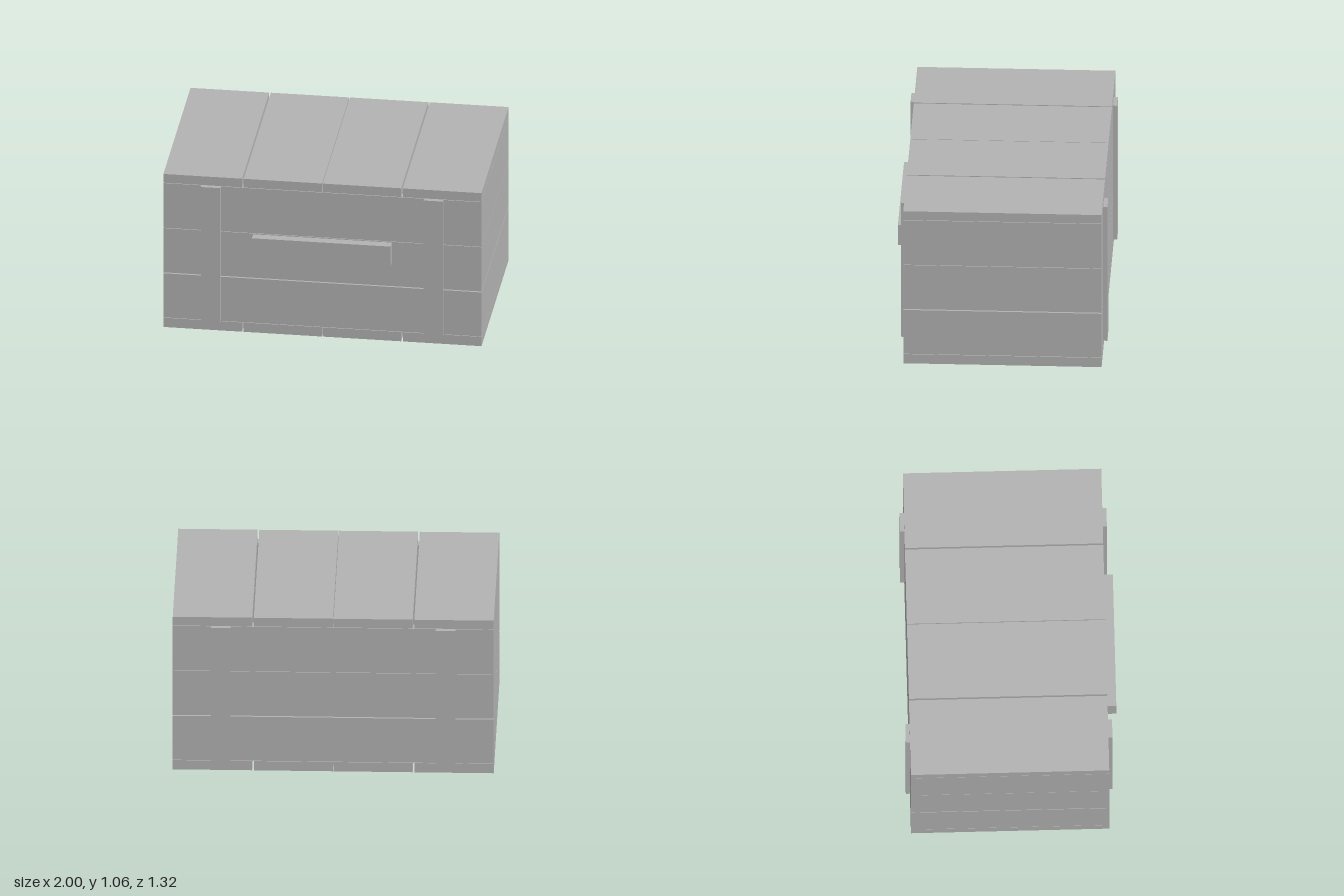
import * as THREE from 'three';

export function createModel() {
  const group = new THREE.Group();
  const wood = new THREE.MeshStandardMaterial({ color: 0xb2b2b2 });
  wood.name = 'grey wood';

  const FRONT = 0.602, BACK = -0.634, WALL = 0.06;

  function add(name, geometry) {
    const mesh = new THREE.Mesh(geometry, wood);
    mesh.name = name;
    group.add(mesh);
  }

  // Box given by its extents on each axis
  function box(name, [x0, x1], [y0, y1], [z0, z1]) {
    const g = new THREE.BoxGeometry(x1 - x0, y1 - y0, z1 - z0);
    g.translate((x0 + x1) / 2, (y0 + y1) / 2, (z0 + z1) / 2);
    add(name, g);
  }

  // Upright plank: a plan outline of [x, z] corners raised from y0 to y1
  function plank(name, corners, y0, y1) {
    const shape = new THREE.Shape(corners.map(([x, z]) => new THREE.Vector2(x, -z)));
    const g = new THREE.ExtrudeGeometry(shape, { depth: y1 - y0, bevelEnabled: false });
    g.rotateX(-Math.PI / 2);
    g.translate(0, y0, 0);
    add(name, g);
  }

  // Floor and lid, four boards each
  const boards = [[-1, -0.505], [-0.495, -0.002], [0.002, 0.495], [0.505, 1]];
  for (const x of boards) {
    box('floorBoard', x, [0, 0.064], [BACK, FRONT]);
    box('lidBoard', x, [1, 1.06], [BACK, FRONT]);
  }

  // Three courses of hollow walls, mitred at the corners
  const outer = [[-1, FRONT], [1, FRONT], [1, BACK], [-1, BACK]];
  const inner = [
    [-1 + WALL, FRONT - WALL], [1 - WALL, FRONT - WALL],
    [1 - WALL, BACK + WALL], [-1 + WALL, BACK + WALL],
  ];
  const sides = ['frontPlank', 'leftPlank', 'backPlank', 'rightPlank'];
  for (const [y0, y1] of [[0.067, 0.372], [0.379, 0.685], [0.688, 0.997]]) {
    sides.forEach((name, i) => {
      const j = (i + 1) % 4;
      plank(name, [outer[i], outer[j], inner[j], inner[i]], y0, y1);
    });
  }

  // Upright battens on the front and back
  for (const s of [-1, 1]) {
    const x = [s * 0.7 - 0.061, s * 0.7 + 0.061];
    box('frontBatten', x, [0.064, 0.998], [FRONT, 0.628]);
    box('backBatten', x, [0.064, 0.998], [-0.66, BACK]);
  }

  // Front grip
  box('handle', [-0.436, 0.436], [0.54, 0.68], [FRONT, 0.66]);

  return group;
}
